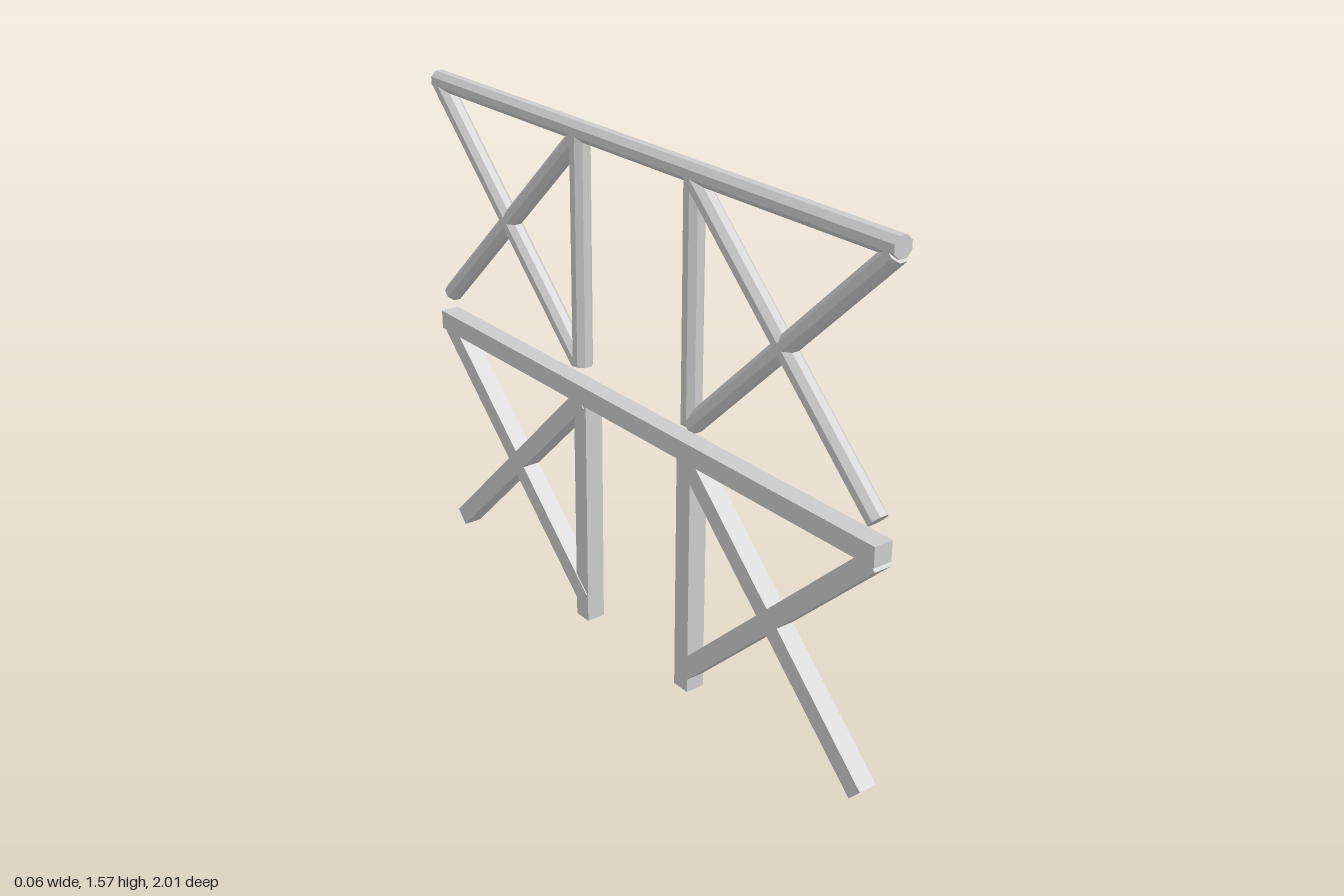
import * as THREE from 'three';

const material = new THREE.MeshStandardMaterial({ color: 0xcccccc, flatShading: true });

// Straight bar in the z-y plane between two [z, y] points
function bar(name, from, to, round, width, x) {
  const dz = to[0] - from[0];
  const dy = to[1] - from[1];
  const length = Math.hypot(dz, dy);
  const radius = width / 2 / Math.cos(Math.PI / 8);
  const geometry = round
    ? new THREE.CylinderGeometry(radius, radius, length, 8, 1, false, Math.PI / 8)
    : new THREE.BoxGeometry(width, length, width);
  const mesh = new THREE.Mesh(geometry, material);
  mesh.name = name;
  mesh.position.set(x, (from[1] + to[1]) / 2, (from[0] + to[0]) / 2);
  mesh.rotation.x = Math.atan2(dz, dy);
  return mesh;
}

// One truss: slightly sloping top beam, two posts and two crossed braces
function truss(name, round, width, braceWidth, postX, beam, posts, braces) {
  const group = new THREE.Group();
  group.name = name;
  const x = -0.004;
  group.add(bar('topBeam', ...beam, round, width, x));
  for (const [z, bottom, top] of posts) {
    group.add(bar('post', [z, bottom], [z, top], round, width, postX));
  }
  for (const [from, to] of braces) {
    group.add(bar('crossBrace', from, to, round, braceWidth, x));
  }
  return group;
}

export function createModel() {
  const model = new THREE.Group();
  model.name = 'crossBracedFrames';

  // Upper frame of eight-sided poles
  model.add(truss('upperPoleFrame', true, 0.056, 0.055, -0.004,
    [[1, 1.545], [-1, 1.528]],
    [[0.254, 0.835, 1.535], [-0.254, 0.835, 1.53]],
    [
      [[0.975, 0.845], [0.25, 1.525]],
      [[0.985, 1.53], [0.265, 0.838]],
      [[-0.97, 0.843], [-0.255, 1.52]],
      [[-0.985, 1.52], [-0.265, 0.84]],
    ]));

  // Lower frame of square timbers
  model.add(truss('lowerTimberFrame', false, 0.059, 0.057, 0,
    [[1, 0.764], [-1, 0.747]],
    [[0.253, 0, 0.785], [-0.236, 0, 0.78]],
    [
      [[0.981, 0.056], [0.25, 0.745]],
      [[0.984, 0.745], [0.26, 0.06]],
      [[-0.933, 0.056], [-0.235, 0.735]],
      [[-0.96, 0.735], [-0.23, 0.07]],
    ]));

  return model;
}
